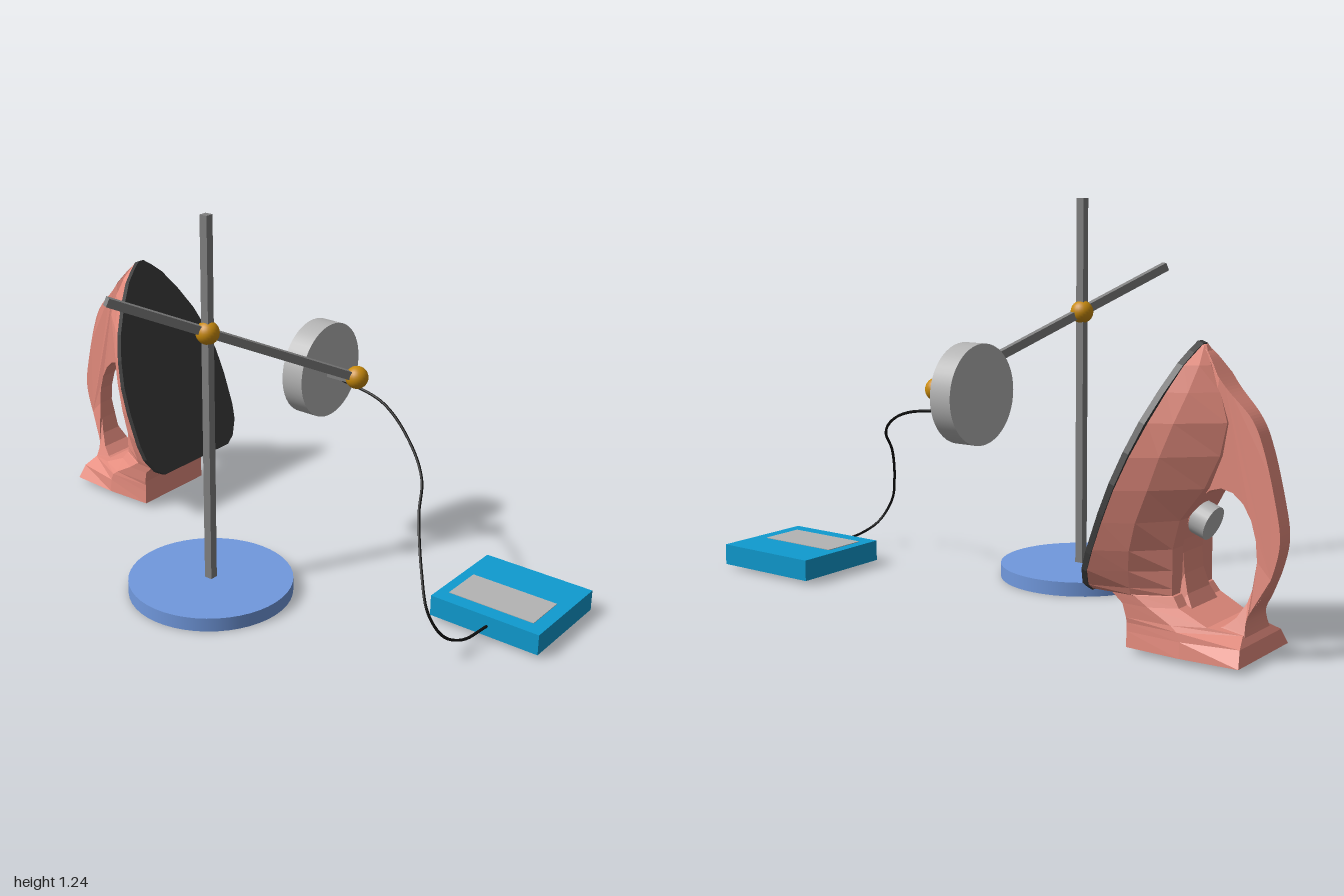
import * as THREE from 'three';

const material = (color, flatShading = false) =>
  new THREE.MeshStandardMaterial({ color, flatShading, side: THREE.DoubleSide });
const steel = material(0x808080), silver = material(0xb4b4b4), brass = material(0xc88a0c);
const blue = material(0x7199de), cyan = material(0x0f9bd0), black = material(0x101010);
const salmon = material(0xe68d7f, true), dark = material(0x3c3c3c);
const V = (x, y, z) => new THREE.Vector3(x, y, z);

function add(parent, name, geometry, mat, pos = V(0, 0, 0)) {
  const mesh = new THREE.Mesh(geometry, mat);
  mesh.name = name;
  mesh.position.copy(pos);
  parent.add(mesh);
  return mesh;
}

// Square bar between two points
function bar(parent, name, a, b, size) {
  const mesh = add(parent, name, new THREE.BoxGeometry(size, size, a.distanceTo(b)), steel,
    a.clone().add(b).multiplyScalar(0.5));
  mesh.lookAt(b);
}

// Closed skin over loops of equal point count
function loft(loops) {
  const n = loops[0].length, pos = [], index = [];
  loops.forEach(loop => loop.forEach(p => pos.push(...p)));
  for (let r = 0; r < loops.length - 1; r++) {
    for (let i = 0; i < n; i++) {
      const a = r * n + i, b = r * n + (i + 1) % n;
      index.push(a, a + n, b, b, a + n, b + n);
    }
  }
  for (let i = 1; i < n - 1; i++) {
    const t = (loops.length - 1) * n;
    index.push(0, i, i + 1, t, t + i + 1, t + i);
  }
  const g = new THREE.BufferGeometry();
  g.setAttribute('position', new THREE.Float32BufferAttribute(pos, 3));
  g.setIndex(index);
  g.computeVertexNormals();
  return g;
}

function createStand() {
  const stand = new THREE.Group();
  stand.name = 'stand';
  const clamp = V(-0.21, 0.875, -0.025), joint = V(0.24, 0.652, 0.212);
  add(stand, 'base', new THREE.CylinderGeometry(0.265, 0.265, 0.045, 48), blue, V(-0.21, 0.0225, -0.025));
  bar(stand, 'pole', V(-0.21, 0.04, -0.025), V(-0.21, 1.24, -0.025), 0.027);
  bar(stand, 'arm', joint, V(-0.487, 1.014, -0.171), 0.027);
  bar(stand, 'sensorStem', V(0.24, 0.645, 0.212), V(0.24, 0.645, 0.09), 0.027);
  for (const p of [clamp, joint]) add(stand, 'clampBall', new THREE.SphereGeometry(0.037, 24, 16), brass, p);
  add(stand, 'sensorDisc', new THREE.CylinderGeometry(0.156, 0.156, 0.076, 48).rotateX(Math.PI / 2),
    silver, V(0.245, 0.65, 0.067));
  return stand;
}

function createMeter() {
  const meter = new THREE.Group();
  meter.name = 'meter';
  add(meter, 'meterBox', new THREE.BoxGeometry(0.34, 0.068, 0.375), cyan, V(0.245, 0.046, 0.8125));
  add(meter, 'display', new THREE.BoxGeometry(0.145, 0.004, 0.295), silver, V(0.1975, 0.08, 0.807));
  const path = new THREE.CatmullRomCurve3([
    V(0.305, 0.6, 0.1), V(0.27, 0.578, 0.29), V(0.17, 0.52, 0.465), V(0.08, 0.455, 0.57), V(0, 0.385, 0.615),
    V(-0.1, 0.26, 0.695), V(-0.145, 0.165, 0.75), V(-0.12, 0.09, 0.79), V(-0.05, 0.054, 0.815), V(0.08, 0.045, 0.825)]);
  add(meter, 'cable', new THREE.TubeGeometry(path, 80, 0.0045, 8), black);
  return meter;
}

function createIron() {
  const iron = new THREE.Group();
  iron.name = 'iron';
  iron.position.x = 0.245;

  // Soleplate, leaning back on its heel
  const tilt = Math.atan2(0.25, 0.692);
  const half = [[0.17, 0], [0.205, 0.022], [0.238, 0.075], [0.248, 0.13], [0.25, 0.25], [0.243, 0.34], [0.222, 0.43],
    [0.19, 0.515], [0.14, 0.6], [0.085, 0.675], [0.045, 0.71], [0.012, 0.734]];
  const outline = [...half, ...half.map(([x, y]) => [-x, y]).reverse()].map(p => new THREE.Vector2(...p));
  const plate = add(iron, 'soleplate', new THREE.ExtrudeGeometry(new THREE.Shape(outline),
    { depth: 0.018, bevelEnabled: false }), dark, V(0, 0.165, -0.49));
  plate.rotation.x = -tilt;

  // Body: y, then z and half width of the front edge, the waist and the back
  const rows = [
    [0.015, -0.59, 0.152, -0.76, 0.157, -0.935, 0.145],
    [0.06, -0.59, 0.15, -0.76, 0.153, -0.925, 0.12],
    [0.085, -0.59, 0.15, -0.75, 0.152, -0.91, 0.075],
    [0.1, -0.59, 0.153, -0.73, 0.15, -0.82, 0.11],
    [0.14, -0.58, 0.157, -0.66, 0.155, -0.735, 0.115],
    [0.168, -0.55, 0.162, -0.62, 0.16, -0.715, 0.11],
    [0.17, -0.492, 0.17, -0.61, 0.163, -0.71, 0.11],
    [0.19, -0.5, 0.205, -0.61, 0.17, -0.71, 0.11],
    [0.24, -0.517, 0.238, -0.615, 0.185, -0.71, 0.11],
    [0.3, -0.539, 0.246, -0.625, 0.198, -0.71, 0.11],
    [0.38, -0.568, 0.247, -0.645, 0.2, -0.725, 0.1],
    [0.47, -0.6, 0.24, -0.675, 0.188, -0.785, 0.075],
    [0.56, -0.632, 0.216, -0.7, 0.17, -0.82, 0.055],
    [0.65, -0.665, 0.175, -0.725, 0.14, -0.835, 0.045],
    [0.73, -0.694, 0.128, -0.745, 0.1, -0.81, 0.04],
    [0.8, -0.719, 0.08, -0.755, 0.06, -0.775, 0.03],
    [0.852, -0.738, 0.012, -0.742, 0.01, -0.746, 0.006]];
  add(iron, 'body', loft(rows.map(([y, zf, fw, zm, mw, zb, bw]) => [
    [fw, y, zf], [mw, y, zm], [bw, y, zb], [-bw, y, zb], [-mw, y, zm], [-fw, y, zf]])), salmon);

  // Handle: side profile with a finger opening, thinner towards the rear
  const side = new THREE.Shape();
  side.moveTo(0.66, 0.05);
  side.lineTo(0.66, 0.6);
  side.lineTo(0.742, 0.845);
  side.splineThru([[0.765, 0.825], [0.825, 0.745], [0.9, 0.665], [0.937, 0.585], [0.972, 0.455], [0.99, 0.35],
    [0.975, 0.265], [0.945, 0.19], [0.91, 0.125], [0.92, 0.05]].map(p => new THREE.Vector2(...p)));
  const opening = new THREE.Path();
  opening.absellipse(0.817, 0.28, 0.107, 0.19, 0, Math.PI * 2, true);
  side.holes.push(opening);
  const handle = new THREE.ExtrudeGeometry(side, { depth: 2, bevelEnabled: false, curveSegments: 10 });
  handle.translate(0, 0, -1).rotateY(Math.PI / 2);
  const p = handle.attributes.position;
  for (let i = 0; i < p.count; i++) {
    const y = p.getY(i), z = p.getZ(i);
    let w = 0.03 + 0.12 * Math.max(0, z + 0.9);
    if (y > 0.75) w = Math.min(w, 0.01 + (0.855 - y) * 0.4);
    if (y < 0.2) w += (0.2 - y) * 0.35;
    p.setX(i, p.getX(i) * w);
  }
  handle.computeVertexNormals();
  add(iron, 'handle', handle, salmon);

  // Thermostat dial under the handle
  const dial = add(iron, 'dial', new THREE.CylinderGeometry(0.05, 0.05, 0.06, 24), silver, V(0, 0.37, -0.745));
  dial.rotation.x = Math.PI / 2 - tilt;
  return iron;
}

export function createModel() {
  const model = new THREE.Group();
  model.name = 'heatRadiationExperiment';
  model.add(createStand(), createMeter(), createIron());
  return model;
}
